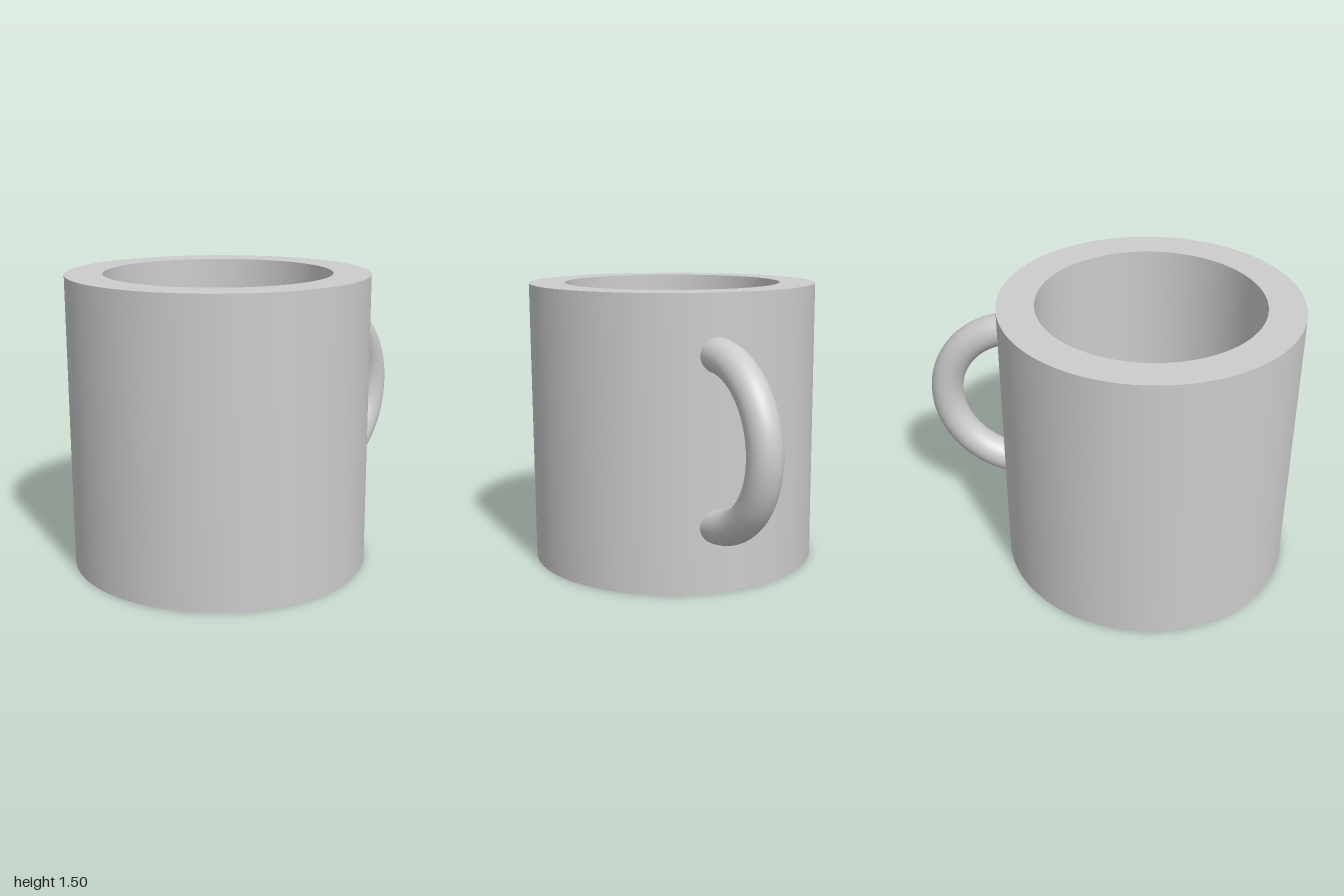
import * as THREE from 'three';
import { toCreasedNormals } from 'three/addons/utils/BufferGeometryUtils.js';

const RADIUS = 0.77, HEIGHT = 1.505, WALL = 0.19;

export function createModel() {
  const group = new THREE.Group();
  group.name = 'mug';
  const ceramic = new THREE.MeshStandardMaterial({ color: 0xcccccc });
  ceramic.name = 'lightGreyCeramic';

  // Thick-walled cup: outer wall, flat rim, inner wall and floor in one profile
  const inner = RADIUS - WALL;
  const profile = [
    [0, 0], [RADIUS, 0], [RADIUS, HEIGHT],
    [inner, HEIGHT], [inner, WALL], [0, WALL],
  ].map(([r, y]) => new THREE.Vector2(r, y));
  const cup = new THREE.Mesh(
    toCreasedNormals(new THREE.LatheGeometry(profile, 96), 0.6), ceramic);
  cup.name = 'cup';
  cup.position.x = -0.23;
  group.add(cup);

  // Half-ring handle, its ends buried in the wall
  const handle = new THREE.Mesh(
    new THREE.TorusGeometry(0.43, 0.088, 32, 64, Math.PI), ceramic);
  handle.name = 'handle';
  handle.rotation.z = -Math.PI / 2;
  handle.position.set(0.482, 0.775, 0.183);
  group.add(handle);

  return group;
}
